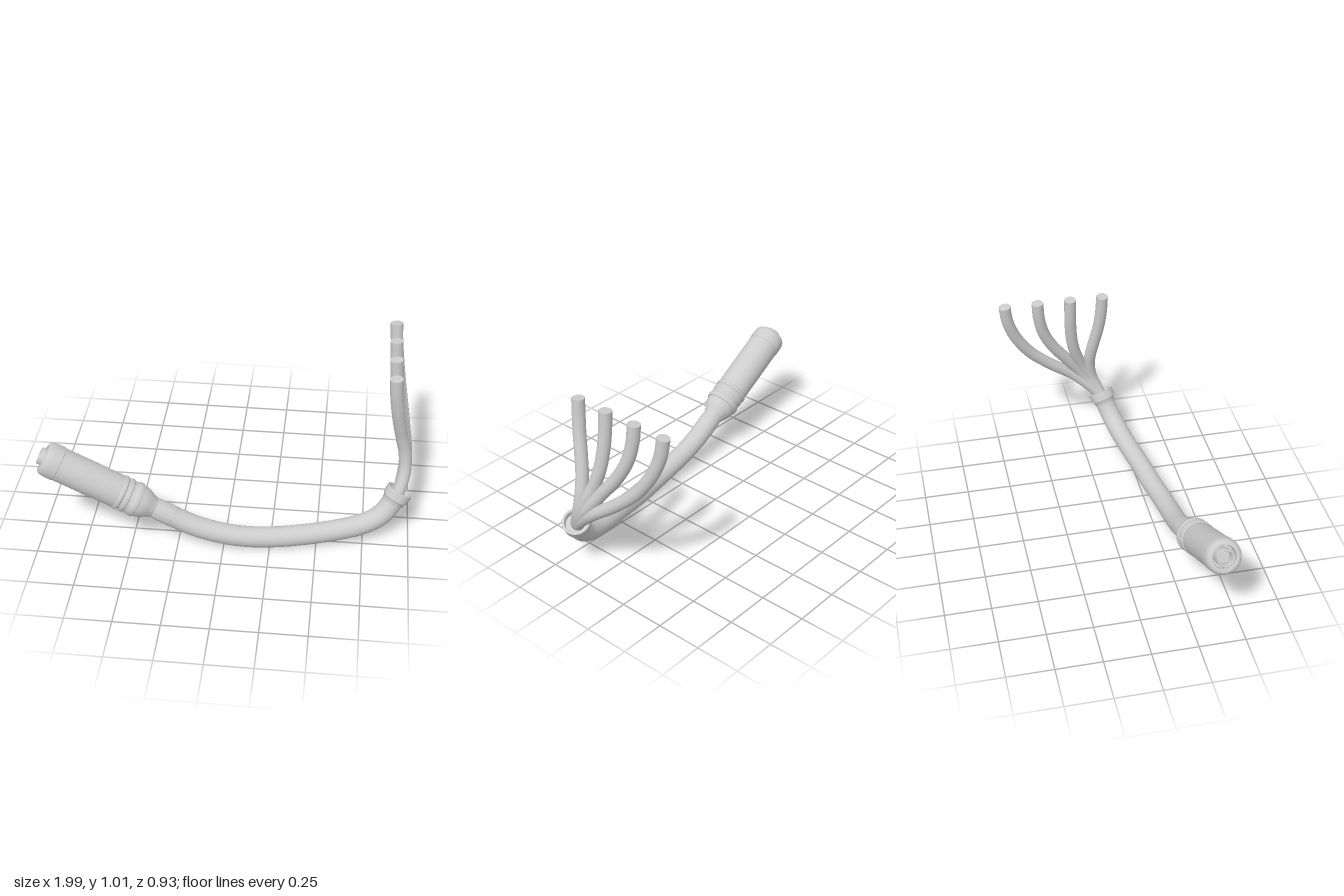
import * as THREE from 'three';
import { toCreasedNormals } from 'three/addons/utils/BufferGeometryUtils.js';

const V = (x, y, z) => new THREE.Vector3(x, y, z);

export function createModel() {
  const group = new THREE.Group();
  const grey = new THREE.MeshStandardMaterial({ color: 0xcccccc });
  grey.name = 'lightGrey';

  const add = (name, geo, parent = group) => {
    const mesh = new THREE.Mesh(geo, grey);
    mesh.name = name;
    parent.add(mesh);
    return mesh;
  };
  // Turned part: [radius, distance along the axis] pairs
  const turned = (name, profile, parent) => {
    const pts = profile.map(([r, s]) => new THREE.Vector2(r, s));
    return add(name, toCreasedNormals(new THREE.LatheGeometry(pts, 48), 0.6), parent);
  };
  // Group whose +y runs from a to b
  const axisGroup = (name, a, b) => {
    const g = new THREE.Group();
    g.name = name;
    g.position.copy(a);
    g.quaternion.setFromUnitVectors(V(0, 1, 0), b.clone().sub(a).normalize());
    group.add(g);
    return g;
  };
  const tube = (name, pts, r, segs) => {
    const curve = new THREE.CatmullRomCurve3(pts);
    return add(name, new THREE.TubeGeometry(curve, segs, r, 28));
  };

  // Connector plug, running from the cable up to its open tip
  const plug = axisGroup('connector', V(-0.275, 0.181, 0.345), V(-0.97, 0.556, 0.373));
  turned('strainRelief', [
    [0, 0], [0.055, 0], [0.058, 0.004], [0.058, 0.095], [0.055, 0.108], [0.055, 0.125],
  ], plug);
  turned('taperedNeck', [
    [0.055, 0.115], [0.06, 0.13], [0.07, 0.15], [0.08, 0.17], [0.086, 0.19], [0.088, 0.215],
  ], plug);
  turned('gripRings', [
    [0.086, 0.21], [0.094, 0.213], [0.096, 0.222], [0.096, 0.238], [0.093, 0.243],
    [0.09, 0.248], [0.09, 0.268], [0.094, 0.273], [0.094, 0.288], [0.09, 0.293],
    [0.09, 0.303], [0.096, 0.308], [0.096, 0.322], [0.091, 0.328],
  ], plug);
  turned('barrel', [[0.091, 0.325], [0.092, 0.5], [0.092, 0.68]], plug);
  turned('endCap', [
    [0.09, 0.678], [0.095, 0.682], [0.095, 0.72], [0.093, 0.742], [0.088, 0.757],
    [0.08, 0.766], [0.07, 0.769], [0.062, 0.768], [0.06, 0.764], [0.06, 0.72], [0, 0.72],
  ], plug);
  turned('tipSleeve', [
    [0.046, 0.715], [0.046, 0.787], [0.044, 0.79], [0.037, 0.79], [0.035, 0.787],
    [0.035, 0.725], [0, 0.725],
  ], plug);

  // Main cable
  tube('mainCable', [
    V(-0.3, 0.194, 0.346), V(-0.24, 0.163, 0.345), V(-0.14, 0.12, 0.345), V(0, 0.083, 0.343),
    V(0.14, 0.063, 0.332), V(0.28, 0.057, 0.311), V(0.45, 0.067, 0.283), V(0.6, 0.083, 0.252),
    V(0.73, 0.107, 0.222), V(0.82, 0.145, 0.197), V(0.87, 0.19, 0.177),
    V(0.902, 0.24, 0.158), V(0.92, 0.27, 0.147),
  ], 0.057, 120);

  // Flared collar where the cable splits
  const collar = axisGroup('collar', V(0.9, 0.232, 0.161), V(0.936, 0.298, 0.138));
  turned('collarRing', [
    [0.056, 0], [0.06, 0], [0.064, 0.02], [0.072, 0.03], [0.074, 0.078], [0.072, 0.08],
    [0.062, 0.08], [0.06, 0.077], [0.058, 0.05], [0, 0.05],
  ], collar);

  // Four wires fanning out: [z, y] pairs, sharing one x curve by height
  const sideCurve = [
    [0.26, 0.917], [0.3, 0.934], [0.36, 0.952], [0.43, 0.957], [0.5, 0.947],
    [0.6, 0.925], [0.7, 0.905], [0.8, 0.888], [0.9, 0.875], [1.005, 0.867],
  ];
  const xAt = (y) => {
    const i = Math.max(1, sideCurve.findIndex(([h]) => h >= y));
    const [h0, x0] = sideCurve[i - 1];
    const [h1, x1] = sideCurve[i];
    return x0 + (x1 - x0) * (y - h0) / (h1 - h0);
  };
  const wires = [
    [[0.15, 0.26], [0.13, 0.3], [0.088, 0.4], [0.073, 0.5], [0.08, 0.6], [0.1, 0.7], [0.12, 0.8], [0.132, 0.9], [0.137, 1.005]],
    [[0.148, 0.26], [0.127, 0.3], [0.075, 0.4], [0.026, 0.5], [-0.013, 0.6], [-0.037, 0.7], [-0.047, 0.8], [-0.05, 0.9], [-0.05, 1.005]],
    [[0.146, 0.26], [0.122, 0.3], [0.03, 0.43], [-0.068, 0.565], [-0.152, 0.68], [-0.207, 0.79], [-0.233, 0.9], [-0.24, 1.005]],
    [[0.144, 0.26], [0.118, 0.3], [-0.015, 0.425], [-0.16, 0.535], [-0.275, 0.64], [-0.335, 0.72], [-0.38, 0.8], [-0.415, 0.9], [-0.43, 1.005]],
  ];
  wires.forEach((path, i) => {
    const pts = path.map(([z, y]) => V(xAt(y), y, z));
    const end = pts[pts.length - 1];
    tube('wire' + (i + 1), pts, 0.034, 72);
    // Flat cut end
    const cut = add('wireEnd' + (i + 1), new THREE.CircleGeometry(0.034, 28));
    const dir = new THREE.CatmullRomCurve3(pts).getTangent(1);
    cut.quaternion.setFromUnitVectors(V(0, 0, 1), dir);
    cut.position.copy(end);
  });

  return group;
}
